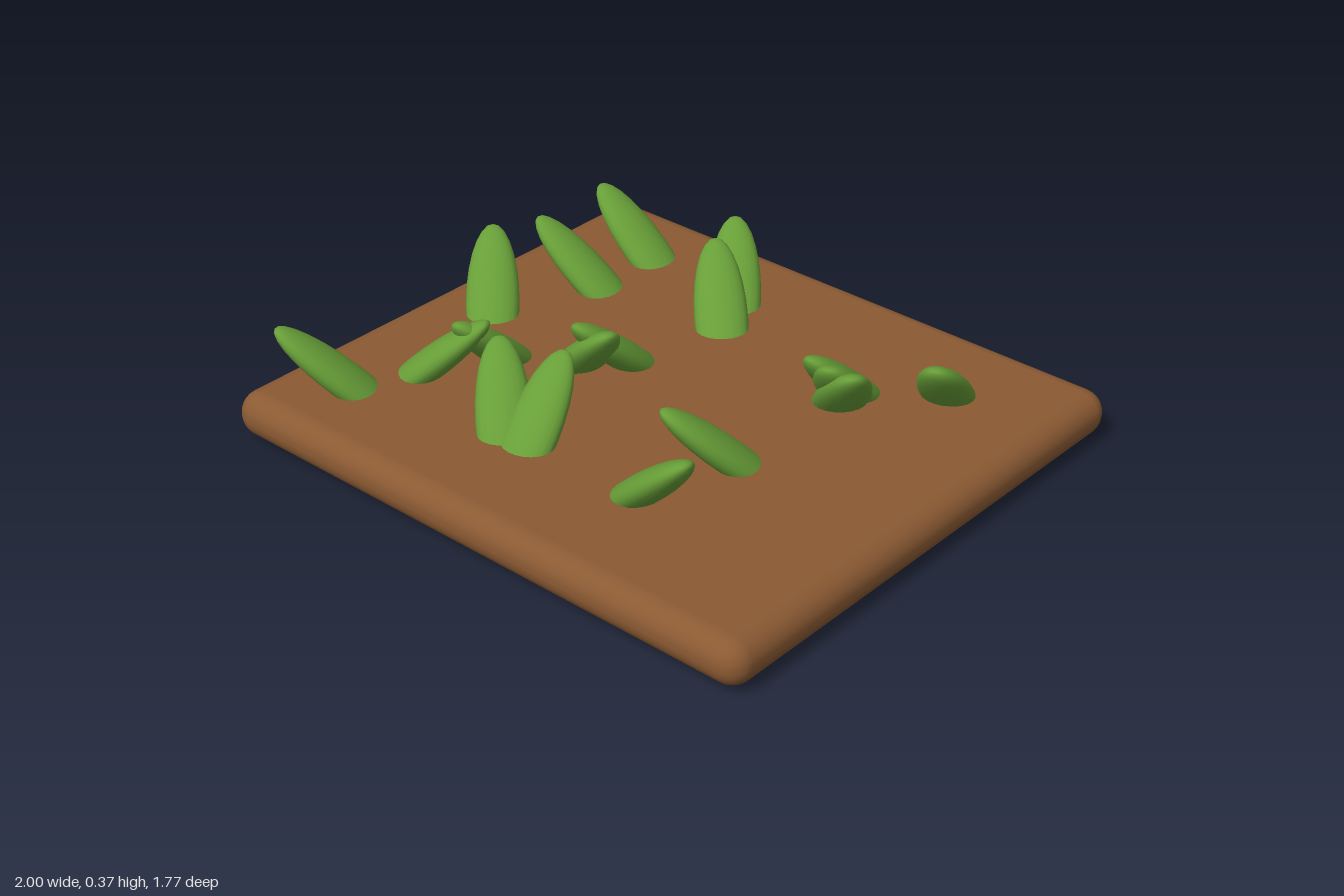
import * as THREE from 'three';
import { RoundedBoxGeometry } from 'three/addons/geometries/RoundedBoxGeometry.js';

// Each leaf: [tip x, tip z, base x, base z] as seen on the ground plane
const LEAVES = [
  [-0.84, -0.59, -0.52, -0.6], [-0.83, -0.28, -0.53, -0.36],
  [-0.9, -0.15, -0.68, 0.09], [-0.91, 0.77, -0.67, 0.55],
  [-0.51, 0.4, -0.54, 0.09], [-0.45, 0.32, -0.72, 0.44],
  [-0.38, 0.35, -0.15, 0.56], [-0.17, 0.28, -0.1, 0.59],
  [-0.24, 0.17, -0.22, -0.14], [-0.12, 0.14, -0.4, 0.03],
  [-0.35, -0.71, -0.15, -0.47], [-0.3, -0.55, -0.08, -0.34],
  [0.41, -0.14, 0.41, -0.46], [0.49, -0.13, 0.37, -0.43],
  [0.58, -0.14, 0.33, -0.37], [0.73, -0.33, 0.6, -0.62],
  [0.27, 0.36, 0.45, 0.1], [0.52, 0.52, 0.22, 0.47],
];
const LEAN = THREE.MathUtils.degToRad(48); // lean away from vertical
const REACH = 0.203; // horizontal distance from leaf centre to tip
const CENTRE_Y = 0.183;

export function createModel() {
  const soil = new THREE.MeshStandardMaterial({ color: 0x8b5a33 });
  soil.name = 'soil brown';
  const green = new THREE.MeshStandardMaterial({ color: 0x689f38 });
  green.name = 'leaf green';

  const model = new THREE.Group();
  model.name = 'sproutPatch';

  // Soil slab with rounded edges
  const slab = new THREE.Mesh(new RoundedBoxGeometry(2, 0.15, 1.775, 3, 0.072), soil);
  slab.name = 'soilSlab';
  slab.position.y = 0.085;
  model.add(slab);

  // Flattened, pointed leaves leaning outwards from the soil
  const leafShape = new THREE.SphereGeometry(1, 20, 14).scale(0.086, 0.27, 0.05);
  const leaves = new THREE.Group();
  leaves.name = 'leaves';
  for (const [tx, tz, bx, bz] of LEAVES) {
    const yaw = Math.atan2(tx - bx, tz - bz);
    const leaf = new THREE.Mesh(leafShape, green);
    leaf.name = 'leaf';
    leaf.rotation.set(LEAN, yaw, 0, 'YXZ');
    leaf.position.set(tx - Math.sin(yaw) * REACH, CENTRE_Y, tz - Math.cos(yaw) * REACH);
    leaves.add(leaf);
  }
  model.add(leaves);
  return model;
}
